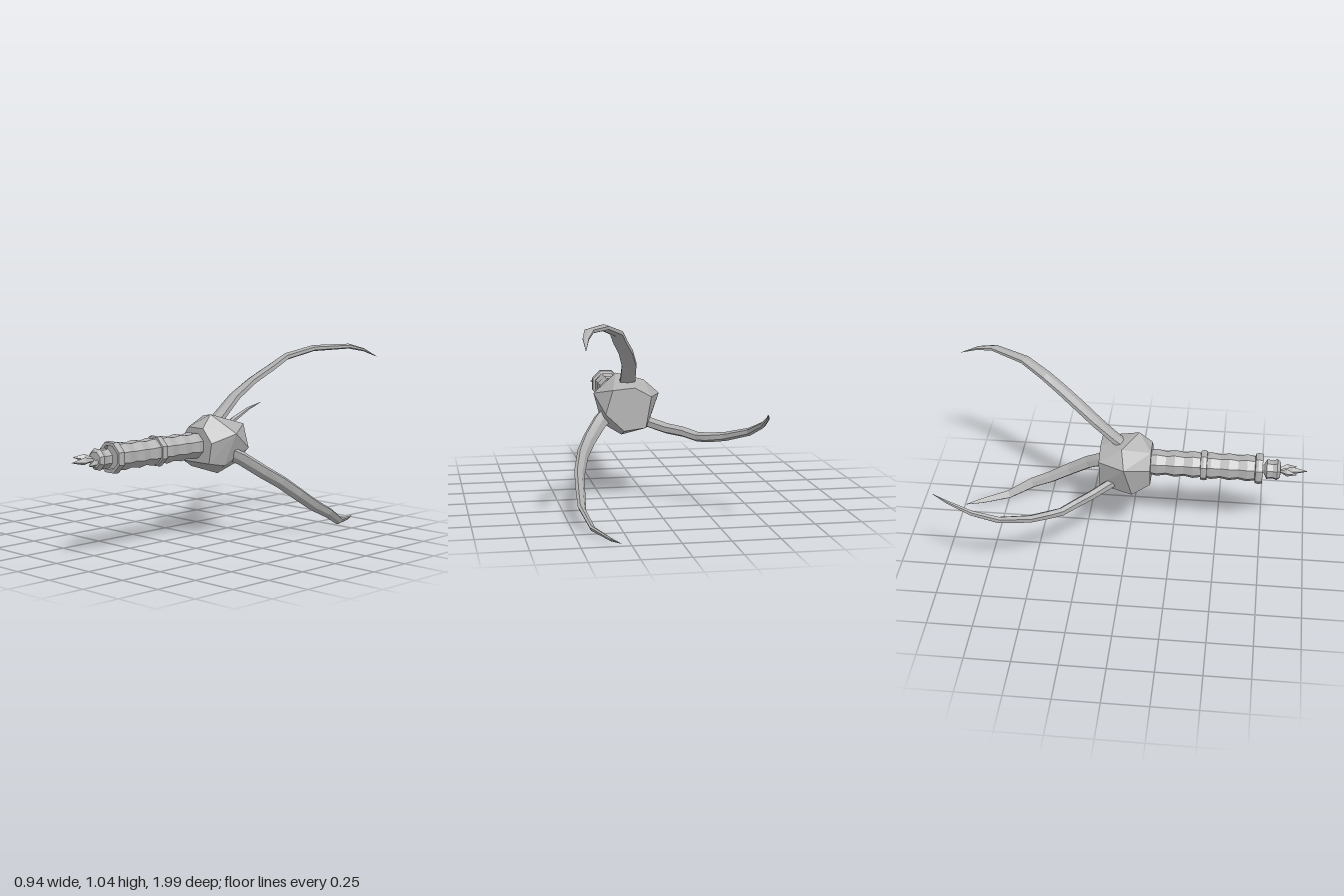
import * as THREE from 'three';
import { ConvexGeometry } from 'three/addons/geometries/ConvexGeometry.js';

const CX = 0.12, CY = 0.53; // long axis of the handle

// Tapered, flattened tentacle: hexagonal sections swept along a path
function armGeometry(path, radial, width, thick) {
  const taper = [1, 0.97, 0.92, 0.88, 0.84, 0.76, 0.62, 0.4, 0.03];
  const pts = path.map(p => new THREE.Vector3(...p));
  const up = new THREE.Vector3(...radial);
  const sides = 6, pos = [], idx = [];
  pts.forEach((p, i) => {
    const t = pts[Math.min(i + 1, pts.length - 1)].clone()
      .sub(pts[Math.max(i - 1, 0)]).normalize();
    const side = t.clone().cross(up).normalize();
    const out = side.clone().cross(t).normalize();
    const f = (i / (pts.length - 1)) * (taper.length - 1), k = Math.min(Math.floor(f), taper.length - 2);
    const s = THREE.MathUtils.lerp(taper[k], taper[k + 1], f - k);
    for (let j = 0; j < sides; j++) {
      const a = Math.PI / 2 + (j / sides) * Math.PI * 2;
      const v = p.clone()
        .addScaledVector(side, Math.cos(a) * width * 0.56 * s)
        .addScaledVector(out, Math.sin(a) * thick * 0.5 * s);
      pos.push(v.x, v.y, v.z);
    }
  });
  for (let i = 0; i < pts.length - 1; i++) {
    for (let j = 0; j < sides; j++) {
      const a = i * sides + j, b = i * sides + (j + 1) % sides;
      idx.push(a, a + sides, b, b, a + sides, b + sides);
    }
  }
  const g = new THREE.BufferGeometry();
  g.setAttribute('position', new THREE.Float32BufferAttribute(pos, 3));
  g.setIndex(idx);
  g.computeVertexNormals();
  return g;
}

// Octagonal turned part along z, from [radius, z] pairs
function turned(profile) {
  const g = new THREE.LatheGeometry(profile.map(p => new THREE.Vector2(...p)), 8, Math.PI / 8);
  g.rotateX(Math.PI / 2);
  g.translate(CX, CY, 0);
  return g;
}

export function createModel() {
  const group = new THREE.Group();
  const grey = new THREE.MeshStandardMaterial({ color: 0xb3b3b3, flatShading: true, side: THREE.DoubleSide });
  grey.name = 'stoneGrey';
  const add = (name, geometry, parent = group) => {
    const m = new THREE.Mesh(geometry, grey);
    m.name = name;
    parent.add(m);
    return m;
  };

  // Faceted body: front face, belt and back face
  const front = [[0.07, 0.625], [0.18, 0.625], [0.245, 0.55], [0.225, 0.438], [0.03, 0.438], [0.006, 0.545]];
  const belt = [[-0.067, 0.587, -0.01], [-0.008, 0.39, 0.03], [0.144, 0.362, -0.02], [0.245, 0.42, 0.03],
    [0.296, 0.595, -0.01], [0.163, 0.695, 0.055], [0.022, 0.667, -0.03]];
  const back = [[0.0, 0.59], [0.03, 0.42], [0.15, 0.405], [0.25, 0.5], [0.21, 0.63], [0.09, 0.64]];
  add('body', new ConvexGeometry([
    ...front.map(p => new THREE.Vector3(p[0], p[1], 0.128)),
    ...belt.map(p => new THREE.Vector3(...p)),
    ...back.map(p => new THREE.Vector3(p[0], p[1], -0.155)),
  ]));

  // Rippled handle
  const ripple = [];
  for (let i = 0; i <= 12; i++) ripple.push([i % 2 ? 0.076 : 0.067, 0.11 + i * 0.05]);
  add('handle', turned(ripple));

  // Collars around the handle
  add('middleCollar', turned([[0.06, 0.4], [0.082, 0.403], [0.086, 0.42], [0.082, 0.437], [0.06, 0.44]]));
  add('endCollar', turned([[0.06, 0.7], [0.084, 0.706], [0.088, 0.722], [0.084, 0.745],
    [0.066, 0.745], [0.062, 0.728], [0, 0.728]]));

  // Knob at the handle end
  const knob = add('knob', turned([[0, 0.725], [0.028, 0.752], [0.058, 0.768], [0.053, 0.8],
    [0.062, 0.825], [0.045, 0.842], [0, 0.845]]));
  knob.scale.y = 0.95;
  knob.position.y = CY * 0.05;

  // Fan of three pointed leaves
  const fan = new THREE.Group();
  fan.name = 'leafFan';
  fan.position.set(CX, CY, 0.825);
  fan.rotation.z = -0.25;
  group.add(fan);
  for (const s of [-1, 0, 1]) {
    const len = s ? 0.06 : 0.085;
    const g = new THREE.OctahedronGeometry(1);
    g.scale(0.021, 0.021, len);
    g.translate(0, 0, len);
    const leaf = add('leaf', g, fan);
    leaf.position.x = s * 0.016;
    leaf.rotation.y = s * 0.42;
  }

  // Three curling arms reaching backwards
  add('upperArm', armGeometry([[0.115, 0.62, 0], [0.116, 0.68, -0.075], [0.125, 0.77, -0.175], [0.16, 0.853, -0.28],
    [0.205, 0.92, -0.38], [0.24, 0.98, -0.47], [0.325, 1.024, -0.6], [0.425, 1.03, -0.79],
    [0.455, 1.005, -0.89], [0.468, 0.962, -0.99]], [0, 1, 0], 0.086, 0.048));
  add('lowerLeftArm', armGeometry([[0.21, 0.49, -0.02], [0.27, 0.45, -0.08], [0.345, 0.37, -0.18], [0.39, 0.313, -0.265],
    [0.425, 0.23, -0.38], [0.435, 0.155, -0.5], [0.443, 0.1, -0.61], [0.407, 0.028, -0.75],
    [0.345, 0.014, -0.9], [0.302, 0.012, -0.99]], [0.75, -0.65, 0], 0.08, 0.045));
  add('rightArm', armGeometry([[0.04, 0.45, -0.06], [-0.02, 0.435, -0.125], [-0.08, 0.42, -0.19], [-0.155, 0.413, -0.265],
    [-0.216, 0.398, -0.335], [-0.26, 0.405, -0.4], [-0.332, 0.425, -0.49], [-0.424, 0.476, -0.64],
    [-0.455, 0.535, -0.78], [-0.45, 0.59, -0.9], [-0.427, 0.625, -0.99]], [-0.9, -0.4, 0], 0.056, 0.055));

  return group;
}
